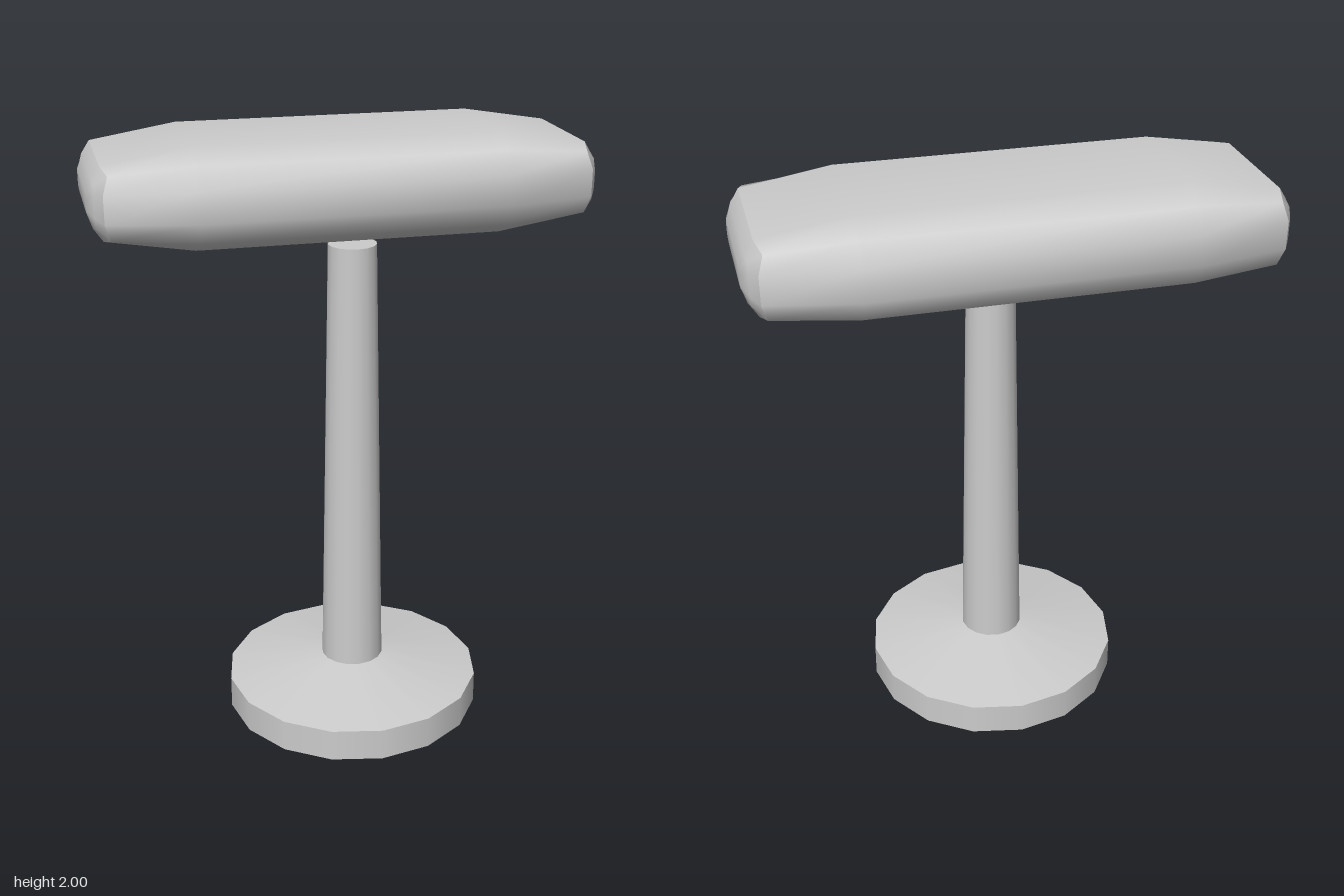
import * as THREE from 'three';

// Skin a list of 12-point rings; optionally fan the last ring to a centre point.
function skin(rings, tip) {
  const n = rings[0].length;
  const pos = rings.flat(2);
  const index = [];
  for (let r = 0; r < rings.length - 1; r++) {
    for (let i = 0; i < n; i++) {
      const j = (i + 1) % n, a = r * n, b = a + n;
      index.push(a + i, a + j, b + i, a + j, b + j, b + i);
    }
  }
  if (tip) {
    const c = rings.length * n, a = c - n;
    pos.push(...tip);
    for (let i = 0; i < n; i++) index.push(a + i, a + (i + 1) % n, c);
  }
  const g = new THREE.BufferGeometry();
  g.setAttribute('position', new THREE.Float32BufferAttribute(pos, 3));
  g.setIndex(index);
  g.computeVertexNormals();
  return g;
}

// Mirror three quarter points [z, y, x] into a closed 12-point ring.
// Order runs from +y towards +z, which faces outward for rings going along +x.
function ring(quarter, side = 1) {
  const rev = [...quarter].reverse();
  const map = (list, sz, sy) => list.map(([z, y, x]) => [x * side, y * sy, z * sz]);
  return [...map(quarter, 1, 1), ...map(rev, 1, -1), ...map(quarter, -1, -1), ...map(rev, -1, 1)];
}

export function createModel() {
  const model = new THREE.Group();
  const grey = new THREE.MeshStandardMaterial({ color: 0xcccccc });
  grey.name = 'light grey';
  const add = (name, geometry, parent = model) => {
    const mesh = new THREE.Mesh(geometry, grey);
    mesh.name = name;
    parent.add(mesh);
    return mesh;
  };

  // Round stand with a sloped top and a tapering pole
  const stand = new THREE.Group();
  stand.name = 'stand';
  stand.position.z = 0.055;
  model.add(stand);
  add('baseDisc', new THREE.CylinderGeometry(0.44, 0.44, 0.11, 16, 1), stand).position.y = 0.055;
  add('baseSlope', new THREE.CylinderGeometry(0.105, 0.44, 0.06, 16, 1, true), stand).position.y = 0.14;
  add('pole', new THREE.CylinderGeometry(0.08, 0.107, 1.5, 16, 1), stand).position.y = 0.92;

  // Cushion-shaped head, narrowing towards both ends
  const head = new THREE.Group();
  head.name = 'head';
  head.position.set(0, 1.835, -0.17);
  model.add(head);
  const full = [[0.2, 0.165, 0.5], [0.285, 0.122, 0.5], [0.33, 0.05, 0.5]];
  const rim = [[0.2, 0.118, 0.785], [0.268, 0.1, 0.768], [0.283, 0.045, 0.785]];
  add('headBody', skin([ring(rim, -1), ring(full, -1), ring(full), ring(rim)]), head);

  // Rounded end caps, the second turned around
  const shoulder = [[0.18, 0.08, 0.814], [0.23, 0.068, 0.808], [0.24, 0.035, 0.81]];
  const flat = [[0.15, 0.035, 0.83], [0.185, 0.03, 0.83], [0.195, 0.015, 0.83]];
  const cap = skin([ring(rim), ring(shoulder), ring(flat)], [0.83, 0, 0]);
  add('leftEndCap', cap, head);
  add('rightEndCap', cap, head).rotation.y = Math.PI;

  return model;
}
